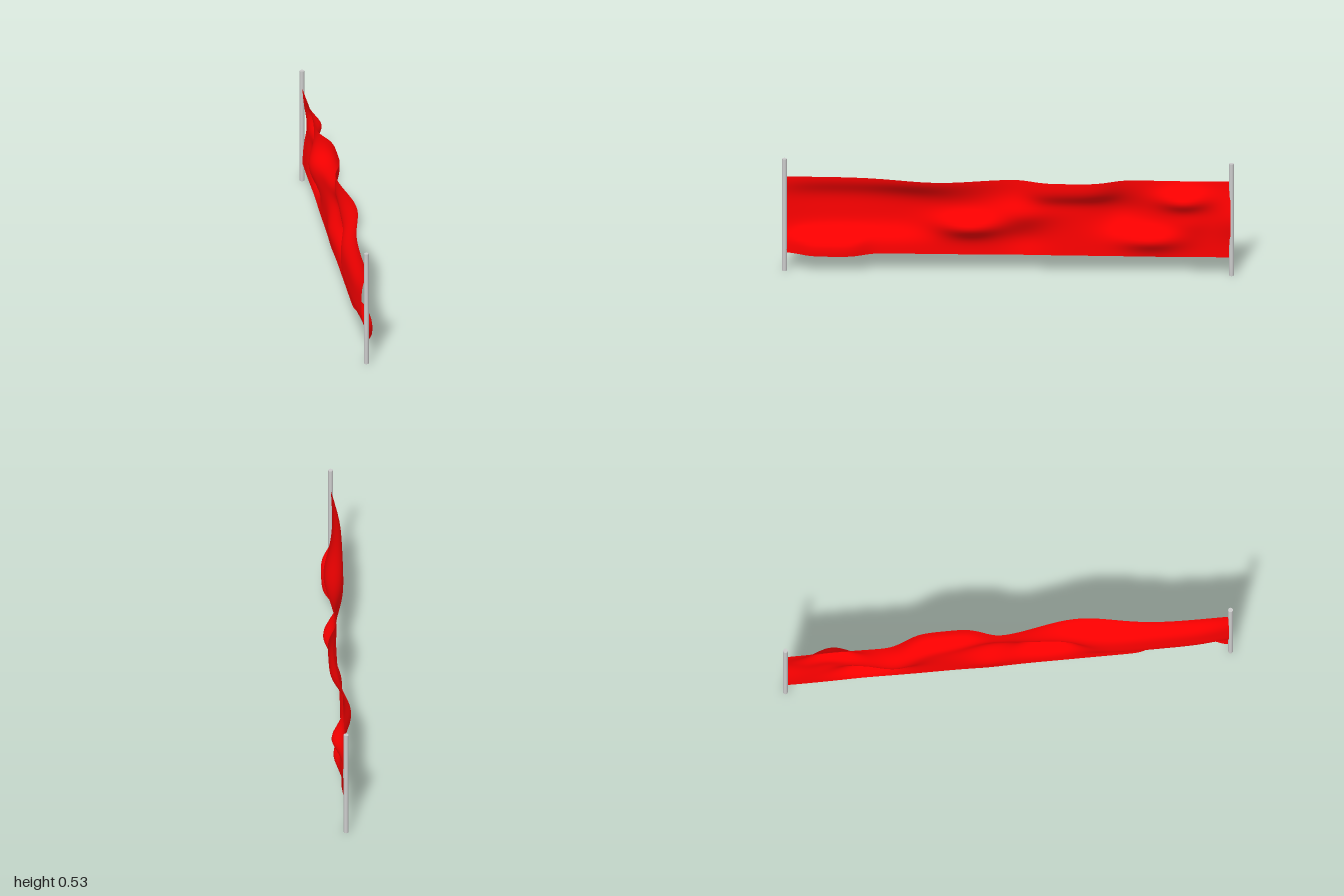
import * as THREE from 'three';

// Folds pushed into the cloth:
// [z, y, spread in z, spread in y, sideways depth, power (2 = round, 4 = flat-topped)]
const FOLDS = [
  // top edge
  [0.31, 0.46, 0.24, 0.09, 0.056, 2],
  [-0.28, 0.45, 0.19, 0.10, 0.053, 4],
  // long hollow towards the front pole, and the flared hem below it
  [0.66, 0.285, 0.35, 0.115, -0.042, 4],
  [0.78, 0.115, 0.15, 0.065, 0.049, 4],
  // slanting ridge across the middle
  [0.17, 0.23, 0.15, 0.055, 0.061, 2],
  [-0.06, 0.29, 0.15, 0.06, 0.030, 2],
  [-0.08, 0.16, 0.10, 0.06, -0.014, 2],
  // folds towards the back pole
  [-0.50, 0.29, 0.12, 0.09, -0.040, 2],
  [-0.63, 0.17, 0.14, 0.05, 0.045, 2],
  [-0.78, 0.36, 0.11, 0.05, 0.056, 2],
  [-0.80, 0.25, 0.09, 0.06, 0.018, 2],
  [-0.99, 0.27, 0.08, 0.09, 0.020, 2],
];
const REST_X = -0.012;

function clothX(z, y) {
  return FOLDS.reduce((x, [fz, fy, rz, ry, depth, power]) => {
    const falloff = ((z - fz) / rz) ** power + ((y - fy) / ry) ** power;
    return x + depth * Math.exp(-falloff);
  }, REST_X);
}

export function createModel() {
  const group = new THREE.Group();

  // Rippled cloth: a flat sheet facing +x, pushed sideways by the folds
  const cloth = new THREE.PlaneGeometry(1.966, 0.362, 110, 28);
  cloth.rotateY(Math.PI / 2).translate(0, 0.267, -0.003);
  const pos = cloth.attributes.position;
  for (let i = 0; i < pos.count; i++) {
    pos.setX(i, clothX(pos.getZ(i), pos.getY(i)));
  }
  cloth.computeVertexNormals();
  const banner = new THREE.Mesh(cloth, new THREE.MeshStandardMaterial({
    color: 0xff0000, side: THREE.DoubleSide,
  }));
  banner.name = 'bannerCloth';
  group.add(banner);

  // Upright pole at each end
  const poleGeometry = new THREE.CylinderGeometry(0.0106, 0.0106, 0.533, 16);
  const grey = new THREE.MeshStandardMaterial({ color: 0xcccccc });
  for (const [name, side] of [['frontPole', 1], ['backPole', -1]]) {
    const pole = new THREE.Mesh(poleGeometry, grey);
    pole.position.set(-0.0125, 0.2665, side * 0.9894);
    pole.name = name;
    group.add(pole);
  }
  return group;
}
